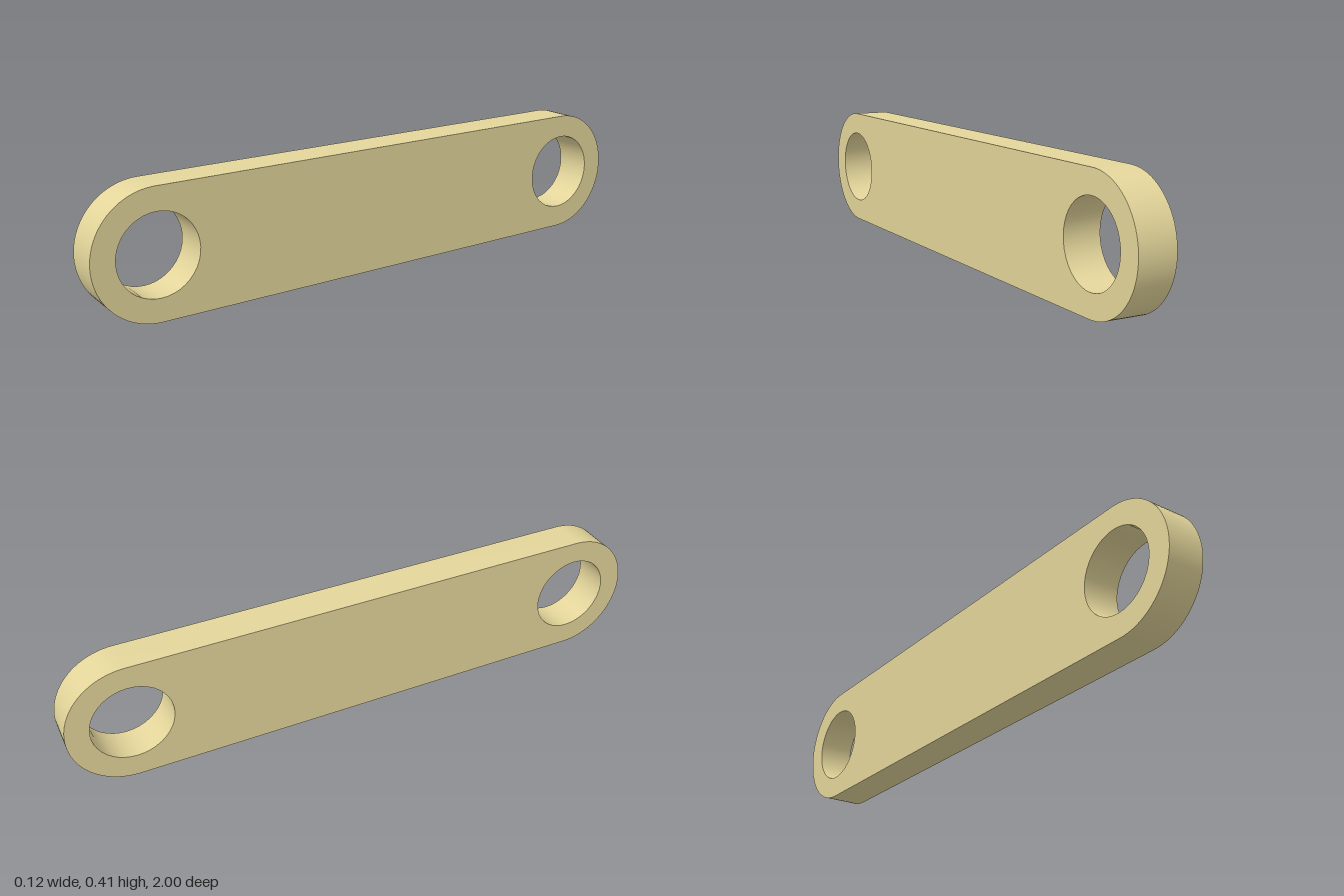
import * as THREE from 'three';
import { toCreasedNormals } from 'three/addons/utils/BufferGeometryUtils.js';

export function createModel() {
  const radius = 0.2075;      // rounded ends
  const holeRadius = 0.132;
  const reach = 1 - radius;   // distance of each hole from the middle
  const thickness = 0.124;

  // Stadium outline with a round hole at each end
  const outline = new THREE.Shape();
  outline.absarc(reach, 0, radius, -Math.PI / 2, Math.PI / 2, false);
  outline.absarc(-reach, 0, radius, Math.PI / 2, Math.PI * 1.5, false);
  outline.closePath();
  for (const side of [-1, 1]) {
    const hole = new THREE.Path();
    hole.absarc(side * reach, 0, holeRadius, 0, Math.PI * 2, true);
    outline.holes.push(hole);
  }

  // Extrude across the thickness, then turn the length along z
  const plate = new THREE.ExtrudeGeometry(outline, {
    depth: thickness, bevelEnabled: false, curveSegments: 20,
  });
  plate.translate(0, radius, -thickness / 2);
  plate.rotateY(Math.PI / 2);

  const link = new THREE.Mesh(
    toCreasedNormals(plate, 0.6),
    new THREE.MeshStandardMaterial({ color: 0xe3d59a }),
  );
  link.name = 'linkPlate';

  const group = new THREE.Group();
  group.name = 'linkBar';
  group.add(link);
  return group;
}
